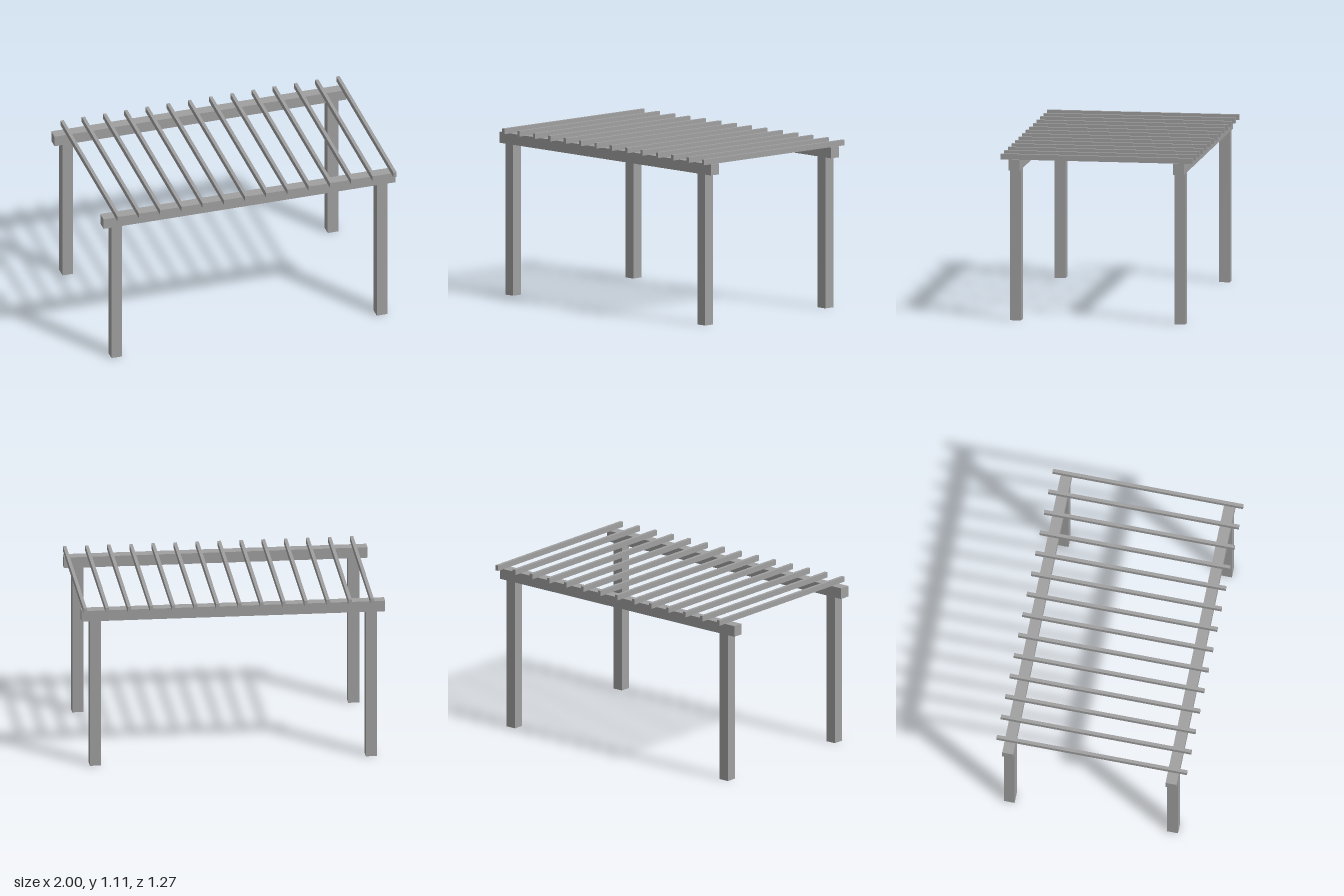
import * as THREE from 'three';

export function createModel() {
  const model = new THREE.Group();
  model.name = 'pergola';

  const timber = new THREE.MeshStandardMaterial({ color: 0xa0a0a0 });
  timber.name = 'greyTimber';

  // Layout grid: posts and beams are one unit thick
  const unit = 2 / 27.5;
  const postHeight = 13.75 * unit;
  const postX = 12.5 * unit;
  const postZ = 7.5 * unit;
  const rafterHeight = unit / 2;

  const postGeometry = new THREE.BoxGeometry(unit, postHeight, unit);
  const beamGeometry = new THREE.BoxGeometry(2, unit, unit);
  const rafterGeometry = new THREE.BoxGeometry(0.3 * unit, rafterHeight, 17.5 * unit);

  function add(name, geometry, x, y, z) {
    const mesh = new THREE.Mesh(geometry, timber);
    mesh.name = name;
    mesh.position.set(x, y, z);
    model.add(mesh);
  }

  // Two frames, each with a long beam on a pair of posts
  for (const [end, sz] of [['front', 1], ['back', -1]]) {
    add(`${end}Beam`, beamGeometry, 0, postHeight + unit / 2, sz * postZ);
    for (const [side, sx] of [['Left', 1], ['Right', -1]]) {
      add(`${end}${side}Post`, postGeometry, sx * postX, postHeight / 2, sz * postZ);
    }
  }

  // Rafters start over the right posts and run past the left ones
  for (let i = 0; i < 14; i++) {
    add(`rafter${i + 1}`, rafterGeometry, -postX + i * 2 * unit, postHeight + unit + rafterHeight / 2, 0);
  }

  return model;
}
